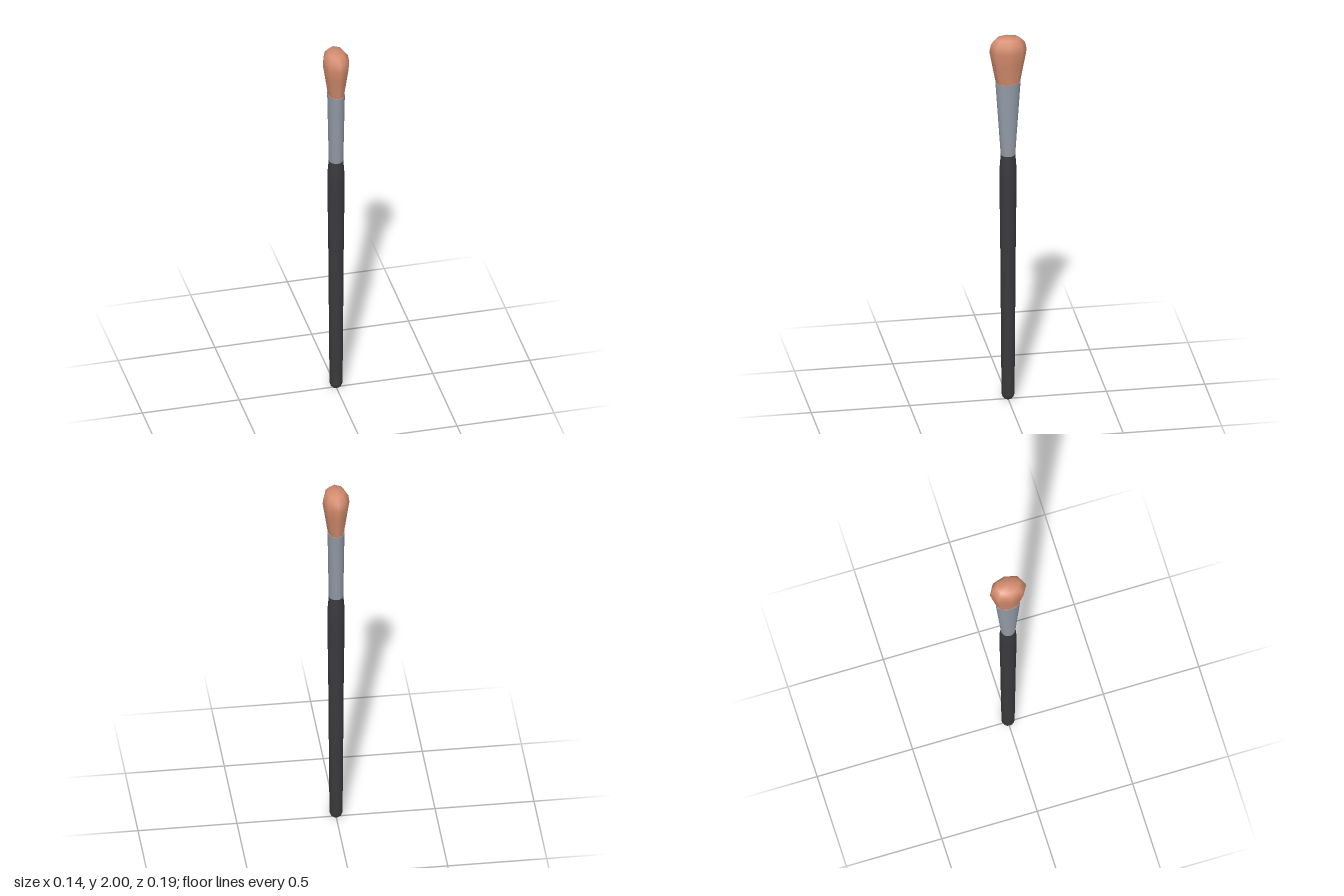
import * as THREE from 'three';
import { mergeVertices } from 'three/addons/utils/BufferGeometryUtils.js';

// Turned form with oval rings, listed bottom to top as [y, half width x, half depth z]
function ovalLathe(rings, sides) {
  const profile = rings.map(([y, rx]) => new THREE.Vector2(rx, y));
  const lathe = new THREE.LatheGeometry(profile, sides);
  const pos = lathe.attributes.position;
  for (let i = 0; i < pos.count; i++) {
    const [, rx, rz] = rings[i % rings.length];
    if (rx > 0) pos.setZ(i, (pos.getZ(i) * rz) / rx);
  }
  // Weld the seam so the shading is smooth all round
  lathe.deleteAttribute('uv');
  lathe.deleteAttribute('normal');
  const geometry = mergeVertices(lathe, 1e-5);
  geometry.computeVertexNormals();
  return geometry;
}

export function createModel() {
  const model = new THREE.Group();
  model.name = 'brush';

  const black = new THREE.MeshStandardMaterial({ name: 'handle black', color: 0x3a3a3d });
  const steel = new THREE.MeshStandardMaterial({ name: 'ferrule grey', color: 0x929aa5 });
  const copper = new THREE.MeshStandardMaterial({ name: 'bristle copper', color: 0xd48c6e });

  const add = (name, geometry, material) => {
    const mesh = new THREE.Mesh(geometry, material);
    mesh.name = name;
    model.add(mesh);
    return mesh;
  };

  // Handle: rounded butt, slow swell, short taper into the ferrule
  const handle = [
    [0, 0], [0.003, 0.017], [0.012, 0.027], [0.03, 0.033], [0.25, 0.035],
    [0.8, 0.039], [1.23, 0.044], [1.29, 0.042], [1.352, 0.037], [1.352, 0],
  ].map(([y, r]) => [y, r, r]);
  add('handle', ovalLathe(handle.slice(0, -1), 16), black);

  // Ferrule: round at the handle, flattened to an oval at the bristles
  add('ferrule', ovalLathe([[1.35, 0.037, 0.037], [1.75, 0.043, 0.064]], 16), steel);
  const rim = add('ferruleRim', new THREE.CircleGeometry(1, 16), steel);
  rim.rotation.x = -Math.PI / 2;
  rim.scale.set(0.043, 0.064, 1);
  rim.position.y = 1.75;

  // Bristles: eight-sided flared tuft with a domed tip
  add('bristles', ovalLathe([
    [1.745, 0.041, 0.061], [1.86, 0.058, 0.083], [1.925, 0.068, 0.095],
    [1.965, 0.062, 0.087], [1.992, 0.042, 0.062], [2, 0, 0],
  ], 8), copper);

  return model;
}
